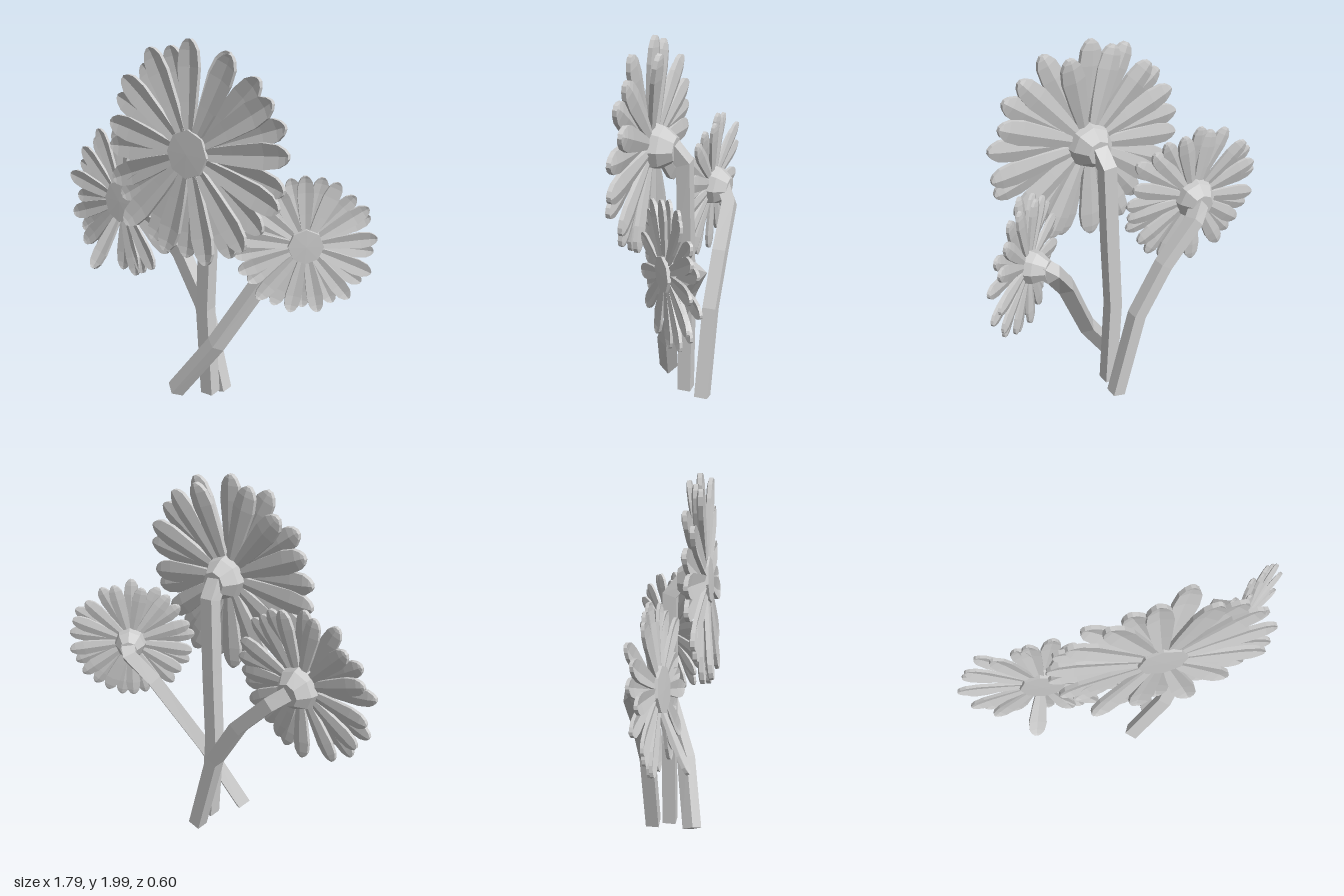
import * as THREE from 'three';

const material = new THREE.MeshStandardMaterial({ color: 0xcccccc, flatShading: true });

// Small seeded generator for the uneven petals
function seeded(seed) {
  return () => {
    seed = (seed * 16807) % 2147483647;
    return seed / 2147483647;
  };
}

// Skin a list of equal-sized rings (counter-clockwise about the travel direction) and cap both ends
function loft(rings) {
  const pos = [];
  const tri = (...pts) => pts.forEach((p) => pos.push(p.x, p.y, p.z));
  const n = rings[0].length;
  for (let k = 0; k < rings.length - 1; k++) {
    const a = rings[k], b = rings[k + 1];
    for (let i = 0; i < n; i++) {
      const j = (i + 1) % n;
      tri(a[i], a[j], b[j]);
      tri(a[i], b[j], b[i]);
    }
  }
  const first = rings[0], last = rings[rings.length - 1];
  for (let i = 1; i < n - 1; i++) {
    tri(first[0], first[i + 1], first[i]);
    tri(last[0], last[i], last[i + 1]);
  }
  const geometry = new THREE.BufferGeometry();
  geometry.setAttribute('position', new THREE.Float32BufferAttribute(pos, 3));
  geometry.computeVertexNormals();
  return geometry;
}

// Petal of unit length along +y, creased down the middle, [distance, half width]
function petalGeometry() {
  const outline = [[0, 0.052], [0.32, 0.085], [0.7, 0.113], [0.88, 0.096], [0.96, 0.06], [1, 0.02]];
  const h = 0.02;
  return loft(outline.map(([y, w]) => {
    const fold = w * 0.25;
    return [[0, h - fold], [w, h], [w, -h], [0, -h - fold], [-w, -h], [-w, h]]
      .map(([x, z]) => new THREE.Vector3(x, y, z));
  }));
}

// Square stem swept along a few points, turned about its own axis by twist
function stemGeometry(points, half, twist) {
  const pts = points.map((p) => new THREE.Vector3(...p));
  const front = new THREE.Vector3(0, 0, 1);
  return loft(pts.map((p, i) => {
    const before = pts[Math.max(i - 1, 0)], after = pts[Math.min(i + 1, pts.length - 1)];
    const t = after.clone().sub(p).normalize().add(p.clone().sub(before).normalize()).normalize();
    const side = new THREE.Vector3().crossVectors(t, front).normalize().applyAxisAngle(t, twist);
    const n = new THREE.Vector3().crossVectors(side, t);
    return [[1, 1], [1, -1], [-1, -1], [-1, 1]].map(([s, m]) =>
      p.clone().addScaledVector(side, s * half).addScaledVector(n, m * half));
  }));
}

// Faceted flower head facing +z: flat disc in front, cup behind, two rings of petals
function flowerHead({ radius, disc, depth, seed, bent = {} }, petal) {
  const head = new THREE.Group();
  const rand = seeded(seed);
  const profile = [[0, -depth], [0.52, -depth], [0.9, -depth * 0.5], [1, -0.01], [0.97, 0.034], [0, 0.036]]
    .map(([r, y]) => new THREE.Vector2(r * disc, y));
  const cup = new THREE.Mesh(new THREE.LatheGeometry(profile, 8), material);
  cup.geometry.rotateX(Math.PI / 2);
  cup.name = 'flowerCentre';
  head.add(cup);

  const count = 13;
  const base = radius * 0.2;
  for (let layer = 0; layer < 2; layer++) {
    for (let i = 0; i < count; i++) {
      const mesh = new THREE.Mesh(petal, material);
      mesh.name = layer ? 'backPetal' : 'frontPetal';
      const angle = ((i + layer / 2 + (rand() - 0.5) * 0.2) / count) * Math.PI * 2;
      const lean = bent[layer * count + i] ?? (rand() - 0.5) * 0.13;
      const reach = radius * (layer ? 0.96 : 0.99) * (0.98 + rand() * 0.05);
      mesh.rotation.set(lean, 0, -angle, 'ZXY');
      mesh.position.set(Math.sin(angle) * base, Math.cos(angle) * base, layer ? -0.014 : 0.014);
      mesh.scale.set(radius, reach - base, radius);
      head.add(mesh);
    }
  }
  return head;
}

export function createModel() {
  const model = new THREE.Group();
  model.name = 'bouquet';
  const petal = petalGeometry();

  const flowers = [
    {
      name: 'middleFlower', centre: [0.115, 1.45, 0.21], facing: [0, 0.07, 1],
      radius: 0.545, disc: 0.123, depth: 0.135, seed: 11, bent: { 8: 0.1, 13: -0.14 }, twist: 0,
      stem: [[0.11, 0.04, 0.035], [0.075, 0.55, 0.035], [0.09, 0.95, 0.035], [0.1, 1.37, 0.035], [0.11, 1.45, 0.1]],
    },
    {
      name: 'rightFlower', centre: [-0.465, 1.05, 0.07], facing: [-0.08, 0.09, 1],
      radius: 0.42, disc: 0.12, depth: 0.12, seed: 47, bent: { 7: 0.38 }, twist: 0,
      stem: [[0.12, 0.01, -0.065], [-0.015, 0.5, -0.07], [-0.18, 0.77, -0.075], [-0.38, 0.98, -0.07], [-0.45, 1.04, -0.02]],
    },
    {
      name: 'leftFlower', centre: [0.615, 1.02, -0.05], facing: [0.63, 0.03, 0.77],
      radius: 0.355, disc: 0.09, depth: 0.12, seed: 83, twist: -0.6,
      stem: [[-0.02, 0.075, 0.18], [0.2, 0.4, 0.11], [0.42, 0.85, -0.08], [0.52, 0.99, -0.155], [0.56, 1.02, -0.12]],
    },
  ];

  for (const f of flowers) {
    const flower = new THREE.Group();
    flower.name = f.name;
    const head = flowerHead(f, petal);
    head.name = 'flowerHead';
    head.position.set(...f.centre);
    head.lookAt(head.position.clone().add(new THREE.Vector3(...f.facing)));
    const stem = new THREE.Mesh(stemGeometry(f.stem, 0.037, f.twist), material);
    stem.name = 'stem';
    flower.add(head, stem);
    model.add(flower);
  }
  return model;
}
